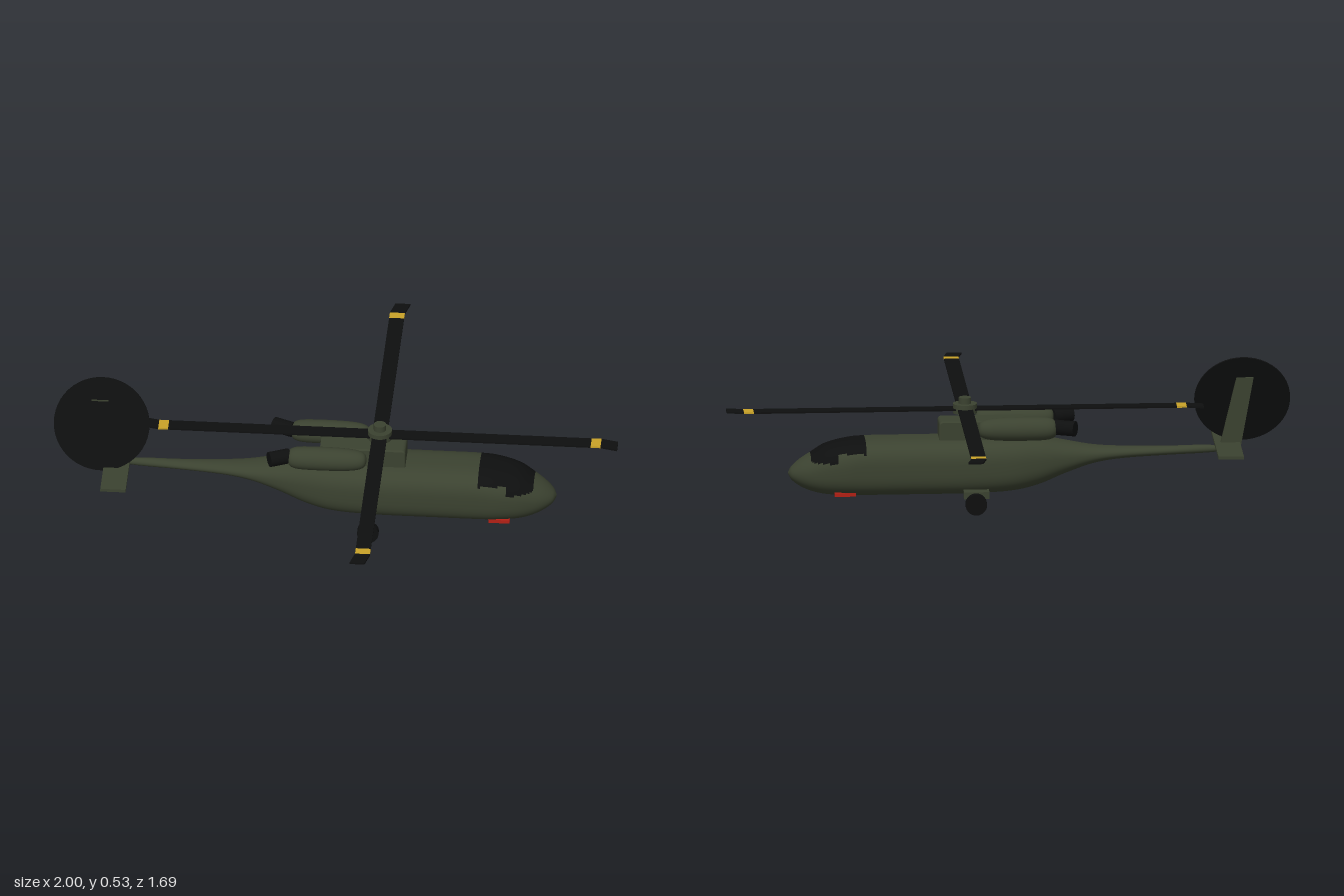
import * as THREE from 'three';

const mat = (name, color) => Object.assign(new THREE.MeshStandardMaterial({ color }), { name });

export function createModel() {
  const model = new THREE.Group();
  model.name = 'helicopter';
  const olive = mat('olive drab', 0x3b4230);
  const black = mat('matte black', 0x0e0f0f);
  const yellow = mat('blade yellow', 0xc9a227);
  const red = mat('marker red', 0xb32015);

  const add = (name, geo, material, x = 0, y = 0, z = 0, parent = model) => {
    const m = new THREE.Mesh(geo, material);
    m.name = name;
    m.position.set(x, y, z);
    parent.add(m);
    return m;
  };
  const box = (w, h, d) => new THREE.BoxGeometry(w, h, d);

  // Fuselage: x, bottom, top, half width, section squareness
  const stations = [
    [-0.79, 0.186, 0.196, 0.006, 2], [-0.7, 0.177, 0.205, 0.015, 2], [-0.55, 0.171, 0.203, 0.024, 2],
    [-0.4, 0.163, 0.205, 0.037, 2.1], [-0.3, 0.148, 0.211, 0.052, 2.2], [-0.2, 0.115, 0.228, 0.073, 2.4],
    [-0.1, 0.076, 0.246, 0.097, 2.6], [0, 0.057, 0.25, 0.114, 2.8], [0.15, 0.051, 0.25, 0.12, 2.9],
    [0.35, 0.05, 0.25, 0.12, 2.9], [0.51, 0.05, 0.249, 0.12, 2.9], [0.58, 0.05, 0.243, 0.119, 2.7],
    [0.65, 0.053, 0.226, 0.107, 2.5], [0.7, 0.063, 0.198, 0.088, 2.3], [0.74, 0.079, 0.174, 0.064, 2.1],
    [0.77, 0.101, 0.148, 0.034, 2], [0.782, 0.122, 0.128, 0.003, 2],
  ];
  const curve = (pts) => new THREE.CatmullRomCurve3(pts, false, 'catmullrom', 0.5);
  const heights = curve(stations.map((s) => new THREE.Vector3(s[0], s[1], s[2])));
  const widths = curve(stations.map((s) => new THREE.Vector3(s[0], s[3], s[4])));
  const rings = 192, sides = 64;
  const pos = [], hull = [], glass = [];
  for (let i = 0; i <= rings; i++) {
    const h = heights.getPoint(i / rings), w = widths.getPoint(i / rings);
    const power = (v) => Math.sign(v) * Math.abs(v) ** (2 / w.z);
    for (let j = 0; j < sides; j++) {
      const a = (j / sides) * Math.PI * 2;
      pos.push(h.x, (h.y + h.z) / 2 + ((h.z - h.y) / 2) * power(Math.sin(a)), w.y * power(Math.cos(a)));
    }
  }
  // Windscreen faces: upper band that steps down towards the nose
  const isGlass = (x, y) => x > 0.51 && x < 0.702 && y > (x > 0.61 ? 0.178 : 0.212);
  for (let i = 0; i < rings; i++) {
    for (let j = 0; j < sides; j++) {
      const k = (j + 1) % sides;
      const a = i * sides + j, b = a + sides, c = (i + 1) * sides + k, d = i * sides + k;
      const mid = (n) => (pos[a * 3 + n] + pos[c * 3 + n]) / 2;
      (isGlass(mid(0), mid(1)) ? glass : hull).push(a, b, c, a, c, d);
    }
  }
  const body = new THREE.BufferGeometry();
  body.setAttribute('position', new THREE.Float32BufferAttribute(pos, 3));
  body.setIndex([...hull, ...glass]);
  body.addGroup(0, hull.length, 0);
  body.addGroup(hull.length, glass.length, 1);
  body.computeVertexNormals();
  add('fuselage', body, [olive, black]);

  // Gearbox housing with softened edges
  const roof = new THREE.Shape();
  roof.moveTo(-0.05, 0.23).lineTo(0.245, 0.23).lineTo(0.245, 0.3);
  roof.quadraticCurveTo(0.245, 0.31, 0.235, 0.31).lineTo(-0.05, 0.31);
  add('gearboxHousing', new THREE.ExtrudeGeometry(roof, {
    depth: 0.094, bevelThickness: 0.006, bevelSize: 0.004, bevelSegments: 2,
  }), olive, 0, 0, -0.047);

  // Engines and outward-angled exhausts
  const profile = [[0, -0.165], [0.024, -0.162], [0.036, -0.145], [0.041, -0.11], [0.042, -0.03],
    [0.04, 0.04], [0.034, 0.085], [0.022, 0.108], [0, 0.115]].map((p) => new THREE.Vector2(...p));
  const nacelle = new THREE.LatheGeometry(new THREE.SplineCurve(profile).getPoints(32)
    .map((p) => new THREE.Vector2(Math.max(p.x, 0), p.y)), 32).rotateZ(-Math.PI / 2);
  const exhaust = new THREE.CylinderGeometry(0.027, 0.027, 0.075, 24).rotateZ(Math.PI / 2);
  for (const s of [1, -1]) {
    const side = s > 0 ? 'right' : 'left';
    add(side + 'Engine', nacelle, olive, 0, 0.293, s * 0.088);
    add(side + 'Exhaust', exhaust, black, -0.195, 0.297, s * 0.1).rotation.y = s * 0.42;
    add(side + 'Marker', box(0.075, 0.013, 0.026), red, 0.585, 0.064, s * 0.083);
    add(side + 'Wheel', new THREE.CylinderGeometry(0.038, 0.038, 0.025, 28).rotateX(Math.PI / 2),
      black, 0.125, 0.038, s * 0.16);
  }
  add('wheelStrut', box(0.09, 0.025, 0.045), olive, 0.122, 0.067, -0.127);

  // Main rotor
  const rotor = new THREE.Group();
  rotor.name = 'mainRotor';
  rotor.position.set(0.155, 0.35, 0);
  model.add(rotor);
  add('mast', new THREE.CylinderGeometry(0.016, 0.016, 0.07, 20), olive, 0, -0.025, 0, rotor);
  add('hub', new THREE.CylinderGeometry(0.043, 0.043, 0.034, 28), olive, 0, 0.002, 0, rotor);
  add('hubCap', new THREE.CylinderGeometry(0.022, 0.022, 0.022, 24), olive, 0, 0.03, 0, rotor);
  const tip = box(0.06, 0.006, 0.053);
  const tp = tip.attributes.position;
  for (let i = 0; i < tp.count; i++) if (tp.getX(i) > 0) tp.setZ(i, tp.getZ(i) + 0.015);
  tip.computeVertexNormals();
  for (let i = 0; i < 4; i++) {
    const blade = new THREE.Group();
    blade.name = 'blade' + (i + 1);
    blade.rotation.y = (i * Math.PI) / 2;
    rotor.add(blade);
    add('bladeSpan', box(0.73, 0.006, 0.053), black, 0.385, 0, 0, blade);
    add('bladeBand', box(0.035, 0.006, 0.053), yellow, 0.7675, 0, 0, blade);
    add('bladeTip', tip, black, 0.815, 0, 0, blade);
  }

  // Tail: stabilator, swept fin and canted rotor disc
  add('stabilator', box(0.09, 0.011, 0.45), olive, -0.775, 0.209, 0);
  const fin = new THREE.Shape();
  fin.moveTo(-0.82, 0.185).lineTo(-0.745, 0.185).lineTo(-0.808, 0.448).lineTo(-0.868, 0.448);
  add('tailFin', new THREE.ExtrudeGeometry(fin, { depth: 0.018, bevelEnabled: false }), olive, 0, 0, -0.009);
  const disc = new THREE.CylinderGeometry(0.17, 0.17, 0.006, 48).rotateX(Math.PI / 2);
  add('tailRotorDisc', disc, black, -0.83, 0.364, 0.032).rotation.x = -0.32;

  return model;
}
